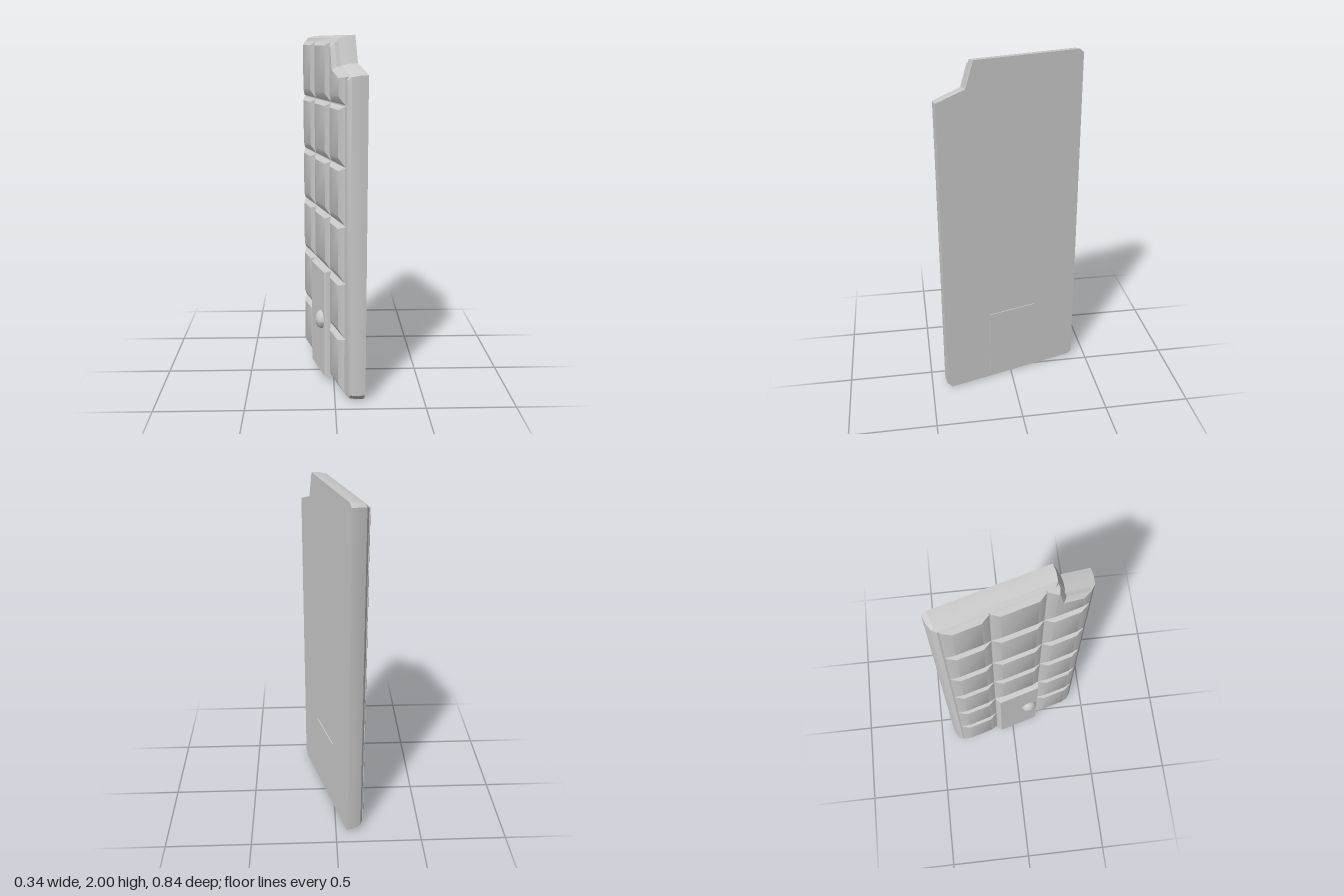
import * as THREE from 'three';
import { toCreasedNormals } from 'three/addons/utils/BufferGeometryUtils.js';

const material = new THREE.MeshStandardMaterial({ color: 0xcccccc });

// Solid through matching counter-clockwise outlines, each at its own depth
function loft(rings) {
  const n = rings[0].pts.length;
  const pos = rings.flatMap(r => r.pts.flatMap(p => [p[0], p[1], r.z]));
  const index = [];
  for (let k = 0; k < rings.length - 1; k++) {
    for (let i = 0; i < n; i++) {
      const a = k * n + i, b = k * n + (i + 1) % n;
      index.push(a, b, b + n, a, b + n, a + n);
    }
  }
  const cap = pts => THREE.ShapeUtils.triangulateShape(pts.map(p => new THREE.Vector2(...p)), []);
  for (const [a, b, c] of cap(rings[0].pts)) index.push(a, c, b);
  const top = (rings.length - 1) * n;
  for (const [a, b, c] of cap(rings[rings.length - 1].pts)) index.push(top + a, top + b, top + c);
  const g = new THREE.BufferGeometry();
  g.setAttribute('position', new THREE.Float32BufferAttribute(pos, 3));
  g.setIndex(index);
  return toCreasedNormals(g, 0.5);
}

// Mitred inset of a counter-clockwise outline
function inset(pts, d) {
  const n = pts.length;
  const normal = (p, q) => new THREE.Vector2(p[1] - q[1], q[0] - p[0]).normalize();
  return pts.map((p, i) => {
    const a = normal(pts[(i + n - 1) % n], p), b = normal(p, pts[(i + 1) % n]);
    const s = d / (1 + a.dot(b));
    return [p[0] + (a.x + b.x) * s, p[1] + (a.y + b.y) * s];
  });
}

const rect = (x0, x1, y0, y1) => [[x0, y0], [x1, y0], [x1, y1], [x0, y1]];

export function createModel() {
  const model = new THREE.Group();
  const wall = new THREE.Group();
  wall.name = 'wall';
  model.add(wall);
  const add = (name, geometry) => {
    const mesh = new THREE.Mesh(geometry, material);
    mesh.name = name;
    wall.add(mesh);
    return mesh;
  };

  // Slab with clipped corners and a stepped notch
  const outline = [[0.025, 0], [0.835, 0], [0.864, 0.035], [0.864, 1.8],
    [0.697, 1.855], [0.65, 2], [0.025, 2], [0, 1.98], [0, 0.02]];
  add('slab', loft([
    { pts: outline, z: 0 },
    { pts: inset(outline, 0.003), z: 0.045 },
    { pts: inset(outline, 0.014), z: 0.085 },
    { pts: inset(outline, 0.036), z: 0.103 },
  ]));

  // Raised pads in three columns and six rows
  const pad = (base, top) => add('pad', loft([
    { pts: base, z: 0.08 }, { pts: base, z: 0.112 }, { pts: top, z: 0.133 },
  ]));
  const columns = [
    { base: [0.045, 0.287], top: [0.095, 0.24] },
    { base: [0.291, 0.574], top: [0.335, 0.53] },
    { base: [0.578, 0.822], top: [0.623, 0.772] },
  ];
  const rows = [0.045, 0.37, 0.69, 1.01, 1.325, 1.645, 1.968];
  columns.forEach(({ base, top }, c) => {
    for (let r = 0; r < 6; r++) {
      if (c === 1 && r < 2) continue; // taken by the door
      if (c === 2 && r === 5) continue; // cut by the notch
      pad(rect(...base, rows[r] + 0.004, rows[r + 1] - 0.004),
        rect(...top, rows[r] + 0.045, rows[r + 1] - 0.024));
    }
  });

  // Pad that follows the notch
  pad(
    [[0.578, 1.649], [0.822, 1.649], [0.822, 1.79], [0.682, 1.838], [0.642, 1.962], [0.578, 1.964]],
    [[0.623, 1.69], [0.772, 1.69], [0.772, 1.783], [0.66, 1.82], [0.633, 1.94], [0.623, 1.942]],
  );

  // Door with a faceted knob
  const door = rect(0.29, 0.575, 0.025, 0.685);
  add('door', loft([
    { pts: door, z: 0.08 }, { pts: door, z: 0.118 },
    { pts: rect(0.308, 0.562, 0.035, 0.675), z: 0.148 },
  ]));
  const knob = add('doorKnob', toCreasedNormals(new THREE.SphereGeometry(1, 8, 6), 0.9));
  knob.scale.set(0.052, 0.056, 0.042);
  knob.position.set(0.506, 0.373, 0.144);

  // Thin door panel on the flat face
  const panel = add('flatFacePanel', new THREE.BoxGeometry(0.3, 0.415, 0.012));
  panel.position.set(0.431, 0.2475, 0);

  // Turn the wall so that its flat face looks towards +x
  wall.rotation.y = -1.289;
  wall.position.set(-0.07, 0, -0.42);
  return model;
}
